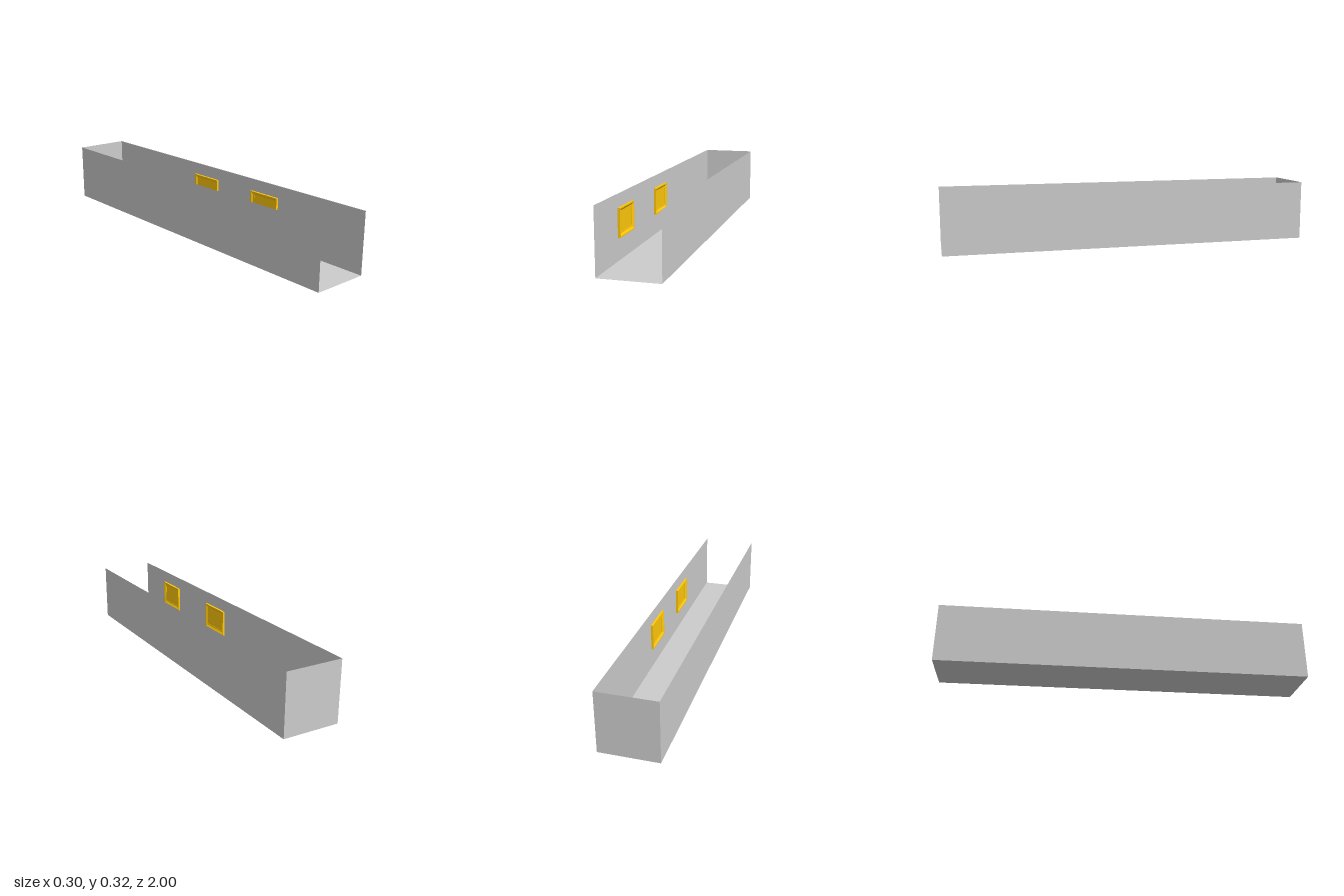
import * as THREE from 'three';

const W = 0.304, H = 0.322, L = 2;

// Mitred picture frame in the XY plane, facing +z: nested rectangles skinned together and capped.
function frameGeometry(w, h, profile) {
  const loops = profile.map(([inset, z]) => {
    const x = w / 2 - inset, y = h / 2 - inset;
    return [[-x, -y, z], [x, -y, z], [x, y, z], [-x, y, z]];
  });
  const pos = [];
  const quad = (a, b, c, d) => pos.push(...a, ...b, ...c, ...a, ...c, ...d);
  for (let i = 0; i < loops.length - 1; i++) {
    for (let k = 0; k < 4; k++) {
      const n = (k + 1) % 4;
      quad(loops[i][k], loops[i][n], loops[i + 1][n], loops[i + 1][k]);
    }
  }
  quad(...loops[loops.length - 1]);
  const g = new THREE.BufferGeometry();
  g.setAttribute('position', new THREE.Float32BufferAttribute(pos, 3));
  g.computeVertexNormals();
  return g;
}

export function createModel() {
  const root = new THREE.Group();
  root.name = 'corridor';
  const grey = new THREE.MeshStandardMaterial({ color: 0xcccccc, side: THREE.DoubleSide });
  const gold = new THREE.MeshStandardMaterial({ color: 0xffc80a });

  const panel = (name, w, h, position, rx, ry) => {
    const mesh = new THREE.Mesh(new THREE.PlaneGeometry(w, h), grey);
    mesh.name = name;
    mesh.position.set(...position);
    mesh.rotation.set(rx, ry, 0);
    root.add(mesh);
  };

  // Thin shell, open at the top and the front
  panel('floor', W, L, [0, 0, 0], -Math.PI / 2, 0);
  panel('backWall', W, H, [0, H / 2, -L / 2], 0, 0);
  panel('rightWall', L, H, [-W / 2, H / 2, 0], 0, Math.PI / 2);
  panel('leftWall', L, H, [W / 2, H / 2, 0], 0, -Math.PI / 2);

  // Frames: outer side, front rim, slope, flat border, recessed picture
  const geo = frameGeometry(0.195, 0.142, [
    [0, 0], [0, 0.012], [0.006, 0.012], [0.016, 0.005], [0.022, 0.005], [0.022, 0.003],
  ]);
  const frames = [
    ['rightFrame', -1, [0.093, 0.63]],
    ['leftFrame', 1, [-0.117, 0.35]],
  ];
  for (const [name, side, zs] of frames) {
    zs.forEach((z, i) => {
      const mesh = new THREE.Mesh(geo, gold);
      mesh.name = name + (i + 1);
      mesh.position.set(side * (W / 2 - 0.0015), 0.185, z);
      mesh.rotation.y = -side * Math.PI / 2;
      root.add(mesh);
    });
  }
  return root;
}
